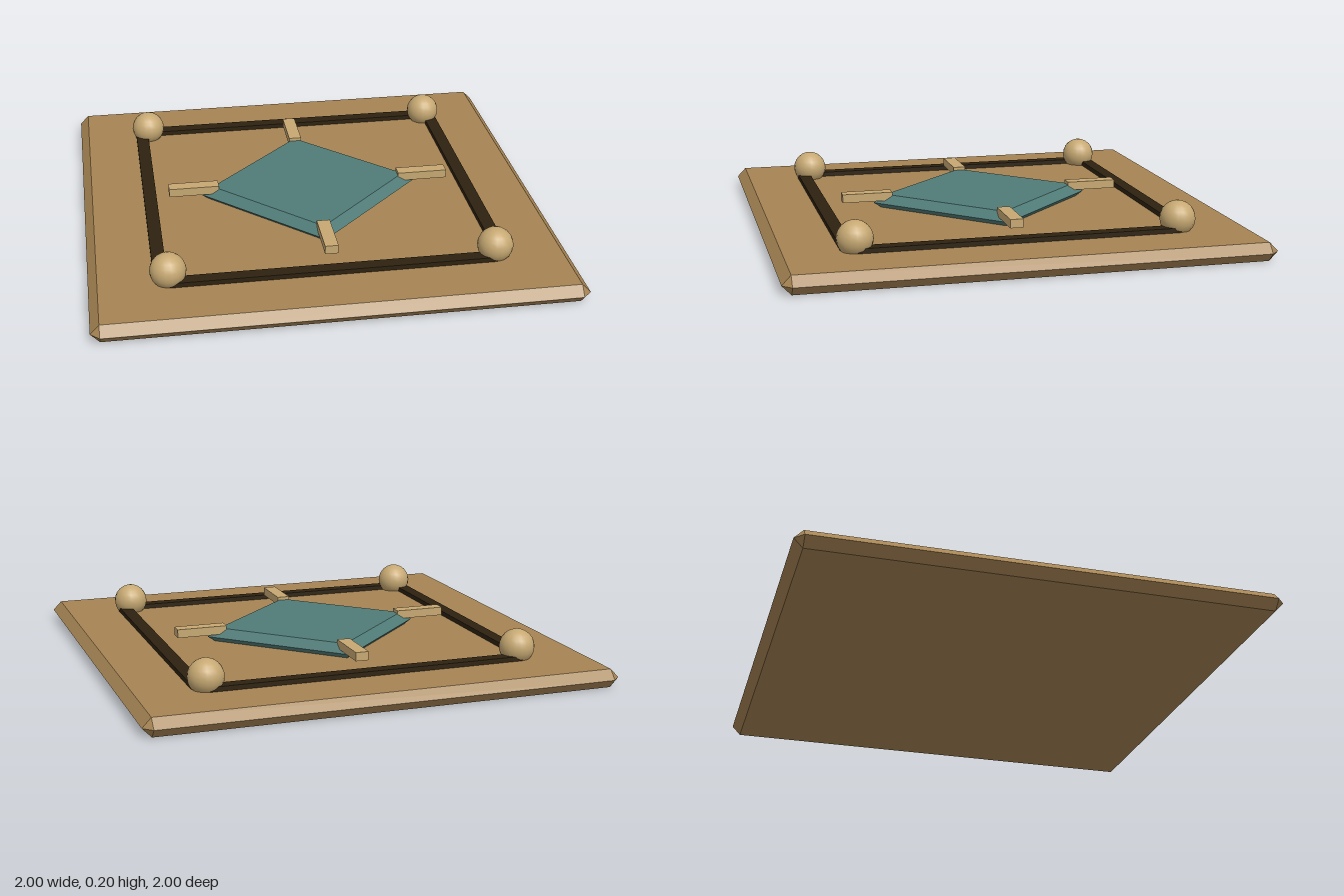
import * as THREE from 'three';
import { ConvexGeometry } from 'three/addons/geometries/ConvexGeometry.js';

const material = (name, color) => {
  const m = new THREE.MeshStandardMaterial({ color });
  m.name = name;
  return m;
};

export function createModel() {
  const model = new THREE.Group();
  const wood = material('tan wood', 0xa68453);
  const dark = material('dark brown', 0x2e2210);
  const brass = material('pale brass', 0xc6a872);
  const teal = material('teal', 0x507b77);

  const add = (name, geometry, mat, x = 0, y = 0, z = 0) => {
    const mesh = new THREE.Mesh(geometry, mat);
    mesh.name = name;
    mesh.position.set(x, y, z);
    model.add(mesh);
    return mesh;
  };

  // Square slab, chamfered to a ridge at mid height with clipped corners
  const inner = 0.9625, top = 0.078;
  const slabPoints = [];
  for (const sx of [-1, 1]) for (const sz of [-1, 1]) {
    slabPoints.push(
      new THREE.Vector3(sx * inner, 0, sz * inner),
      new THREE.Vector3(sx * inner, top, sz * inner),
      new THREE.Vector3(sx, top / 2, sz * inner),
      new THREE.Vector3(sx * inner, top / 2, sz),
    );
  }
  add('baseSlab', new ConvexGeometry(slabPoints), wood);

  // Diamond panel, widest at its girdle
  const gemPoints = [];
  for (const [r, y] of [[0.43, 0.064], [0.484, 0.1], [0.43, 0.135]]) {
    for (const s of [-1, 1]) {
      gemPoints.push(new THREE.Vector3(s * r, y, 0), new THREE.Vector3(0, y, s * r));
    }
  }
  add('diamondPanel', new ConvexGeometry(gemPoints), teal);

  // One rail, prong and corner ball per side
  const railGeometry = new THREE.BoxGeometry(1.35, 0.04, 0.056);
  const prongGeometry = new THREE.BoxGeometry(0.056, 0.037, 0.22);
  const ballGeometry = new THREE.SphereGeometry(0.075, 18, 12);
  for (let i = 0; i < 4; i++) {
    const angle = i * Math.PI / 2;
    const s = Math.sin(angle), c = Math.cos(angle);
    add('rail', railGeometry, dark, s * 0.708, 0.078, c * 0.708).rotation.y = angle;
    add('prong', prongGeometry, brass, s * 0.515, 0.131, c * 0.515).rotation.y = angle;
    add('cornerBall', ballGeometry, brass, (c + s) * 0.677, 0.127, (c - s) * 0.677);
  }
  return model;
}
